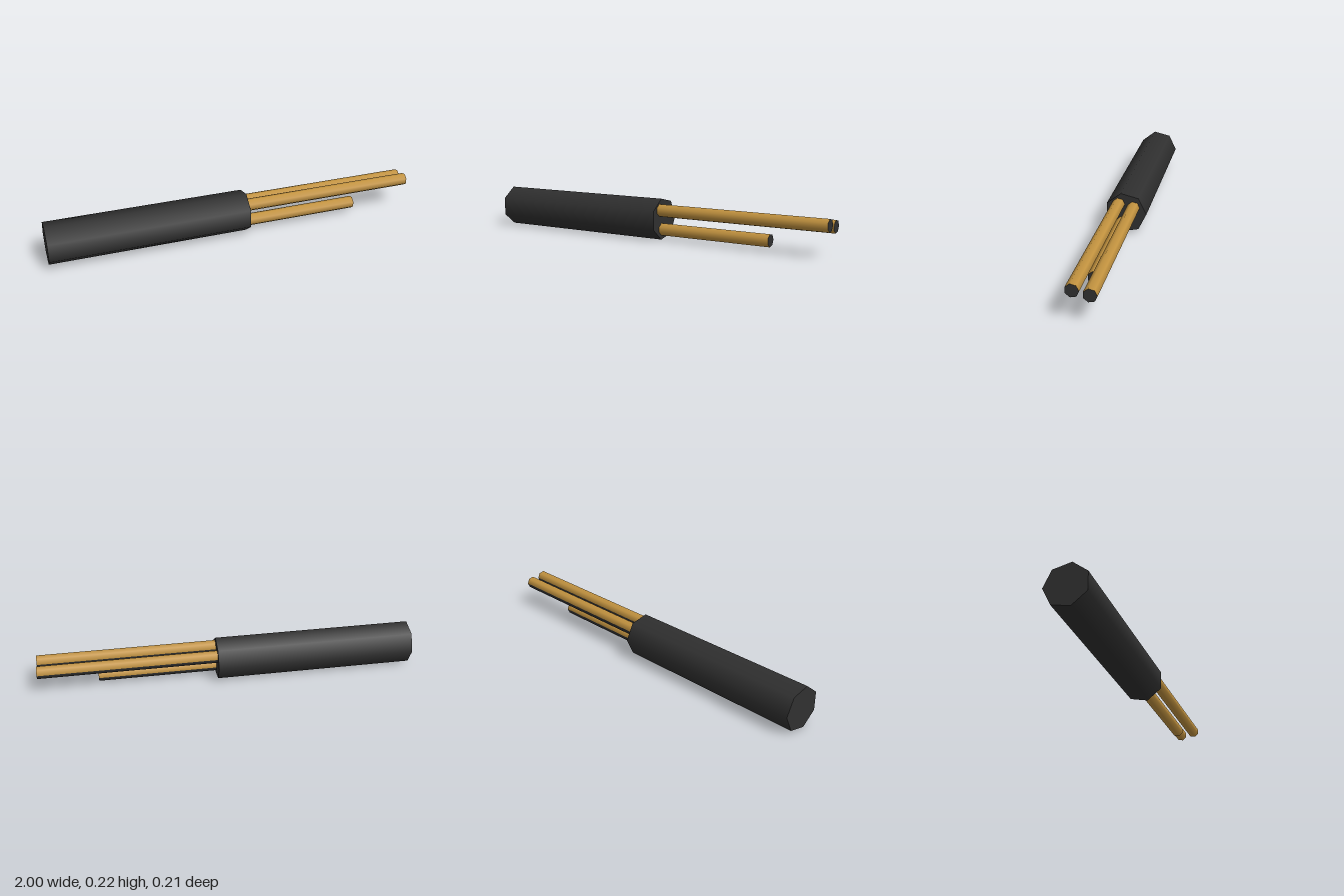
import * as THREE from 'three';

const material = (name, color) => {
  const m = new THREE.MeshStandardMaterial({ color });
  m.name = name;
  return m;
};

// Seven-sided rod along x, with one corner pointing to -z
function rodGeometry(radius, x0, x1, y, z) {
  const g = new THREE.CylinderGeometry(radius, radius, x1 - x0, 7, 1, false, Math.PI);
  g.rotateZ(-Math.PI / 2);
  g.translate((x0 + x1) / 2, y, z);
  return g;
}

export function createModel() {
  const group = new THREE.Group();
  group.name = 'cutCable';
  const rubber = material('black rubber', 0x303030);
  const copper = material('copper', 0xc49440);

  // Outer insulation
  const sheath = new THREE.Mesh(rodGeometry(0.1125, -1, 0.06, 0.111, 0.005), rubber);
  sheath.name = 'sheath';
  group.add(sheath);

  // Bare wires: [name, end x, y, z]
  const wires = [
    ['upperFrontWire', 1, 0.161, 0.042],
    ['upperBackWire', 1, 0.146, -0.038],
    ['lowerWire', 0.69, 0.057, 0.021],
  ];
  for (const [name, end, y, z] of wires) {
    const g = rodGeometry(0.0335, 0.05, end, y, z);
    // Six copper sides; the lower back side and both ends are black
    g.clearGroups();
    g.addGroup(0, 36, 0);
    g.addGroup(36, g.index.count - 36, 1);
    const wire = new THREE.Mesh(g, [copper, rubber]);
    wire.name = name;
    group.add(wire);
  }
  return group;
}
